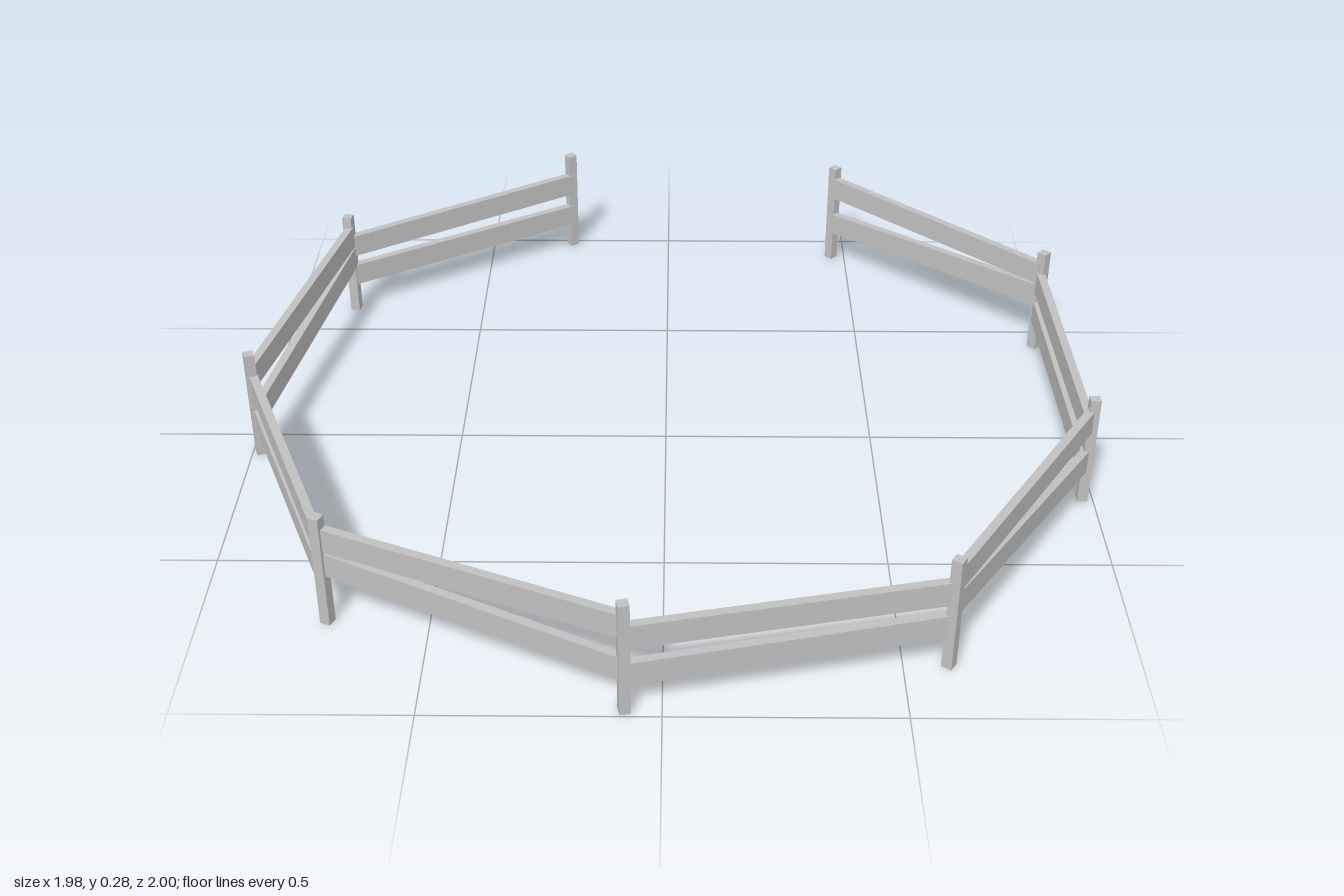
import * as THREE from 'three';

export function createModel() {
  const model = new THREE.Group();
  const grey = new THREE.MeshStandardMaterial({ color: 0xc0c0c0 });
  grey.name = 'weathered grey';

  // Post positions (x, z) around the open ring
  const posts = [
    [-0.275, -0.985], [-0.847, -0.614], [-0.98, 0.074], [-0.72, 0.707], [-0.077, 0.982],
    [0.596, 0.838], [0.974, 0.25], [0.966, -0.432], [0.463, -0.914],
  ].map(([x, z]) => new THREE.Vector3(x, 0, z));

  const height = 0.28, postSize = 0.024, railHeight = 0.058, railDepth = 0.02;
  const postGeometry = new THREE.BoxGeometry(postSize, height, postSize);

  // Yaw that turns a box's x axis from a to b
  const yaw = (a, b) => Math.atan2(a.z - b.z, b.x - a.x);

  posts.forEach((p, i) => {
    const j = Math.min(i, posts.length - 2);
    const post = new THREE.Mesh(postGeometry, grey);
    post.name = 'post';
    post.position.set(p.x, height / 2, p.z);
    post.rotation.y = yaw(posts[j], posts[j + 1]);
    model.add(post);
  });

  // One board between two posts, with its centre height given at each end
  function addRail(name, a, b, startY, endY) {
    const length = a.distanceTo(b);
    const geometry = new THREE.BoxGeometry(length, railHeight, railDepth);
    // Shear the board so that its ends stay upright
    const position = geometry.attributes.position;
    for (let i = 0; i < position.count; i++) {
      const t = position.getX(i) / length + 0.5;
      position.setY(i, position.getY(i) + THREE.MathUtils.lerp(startY, endY, t));
    }
    geometry.computeVertexNormals();
    const rail = new THREE.Mesh(geometry, grey);
    rail.name = name;
    rail.position.addVectors(a, b).multiplyScalar(0.5);
    rail.position.addScaledVector(rail.position.clone().normalize(), -0.004);
    rail.rotation.y = yaw(a, b);
    model.add(rail);
  }

  // Panels alternate between a level pair and a high pair with a sagging lower board
  for (let i = 0; i < posts.length - 1; i++) {
    const a = posts[i], b = posts[i + 1], sagging = i % 2 === 1;
    const upperY = sagging ? 0.222 : 0.194;
    addRail('upperRail', a, b, upperY, upperY);
    addRail('lowerRail', a, b, sagging ? 0.16 : 0.098, sagging ? 0.112 : 0.108);
  }
  return model;
}
